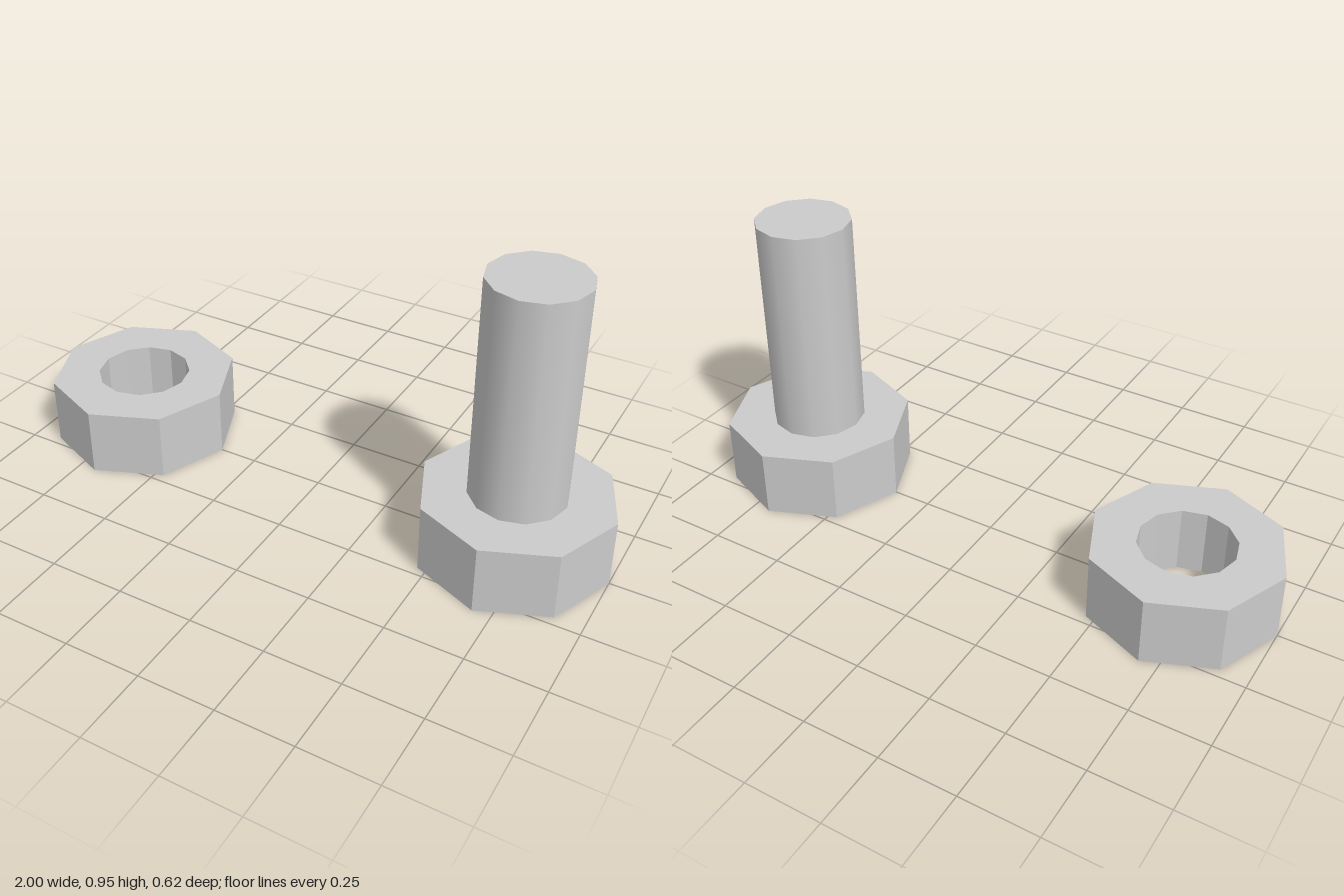
import * as THREE from 'three';

const HEAD_R = 0.31, HEAD_H = 0.226, SHAFT_R = 0.155, TOP = 0.955, OFFSET = 0.69;

// Points of a regular polygon with corners on the axes
function polygon(radius, sides) {
  return Array.from({ length: sides }, (_, i) => {
    const a = (i / sides) * Math.PI * 2;
    return new THREE.Vector2(Math.cos(a) * radius, Math.sin(a) * radius);
  });
}

// Eight-sided block standing on the ground, with an optional bore
function octagonBlock(boreRadius) {
  const shape = new THREE.Shape(polygon(HEAD_R, 8));
  if (boreRadius) shape.holes.push(new THREE.Path(polygon(boreRadius, 12)));
  const geometry = new THREE.ExtrudeGeometry(shape, { depth: HEAD_H, bevelEnabled: false });
  return geometry.rotateX(-Math.PI / 2);
}

export function createModel() {
  const model = new THREE.Group();
  model.name = 'nutAndBolt';
  const flat = new THREE.MeshStandardMaterial({ color: 0xcccccc, flatShading: true });
  const smooth = new THREE.MeshStandardMaterial({ color: 0xcccccc });

  const add = (parent, name, geometry, material) => {
    const mesh = new THREE.Mesh(geometry, material);
    mesh.name = name;
    parent.add(mesh);
    return mesh;
  };

  // Bolt: octagonal head with an upright, smooth-sided shaft
  const bolt = new THREE.Group();
  bolt.name = 'bolt';
  bolt.position.x = OFFSET;
  add(bolt, 'boltHead', octagonBlock(), flat);
  const shaftH = TOP - HEAD_H;
  const shaft = add(bolt, 'boltShaft', new THREE.CylinderGeometry(SHAFT_R, SHAFT_R, shaftH, 12), smooth);
  shaft.position.y = HEAD_H + shaftH / 2;
  model.add(bolt);

  // Nut: the same block with a through bore
  const nut = add(model, 'nut', octagonBlock(SHAFT_R), flat);
  nut.position.x = -OFFSET;

  return model;
}
